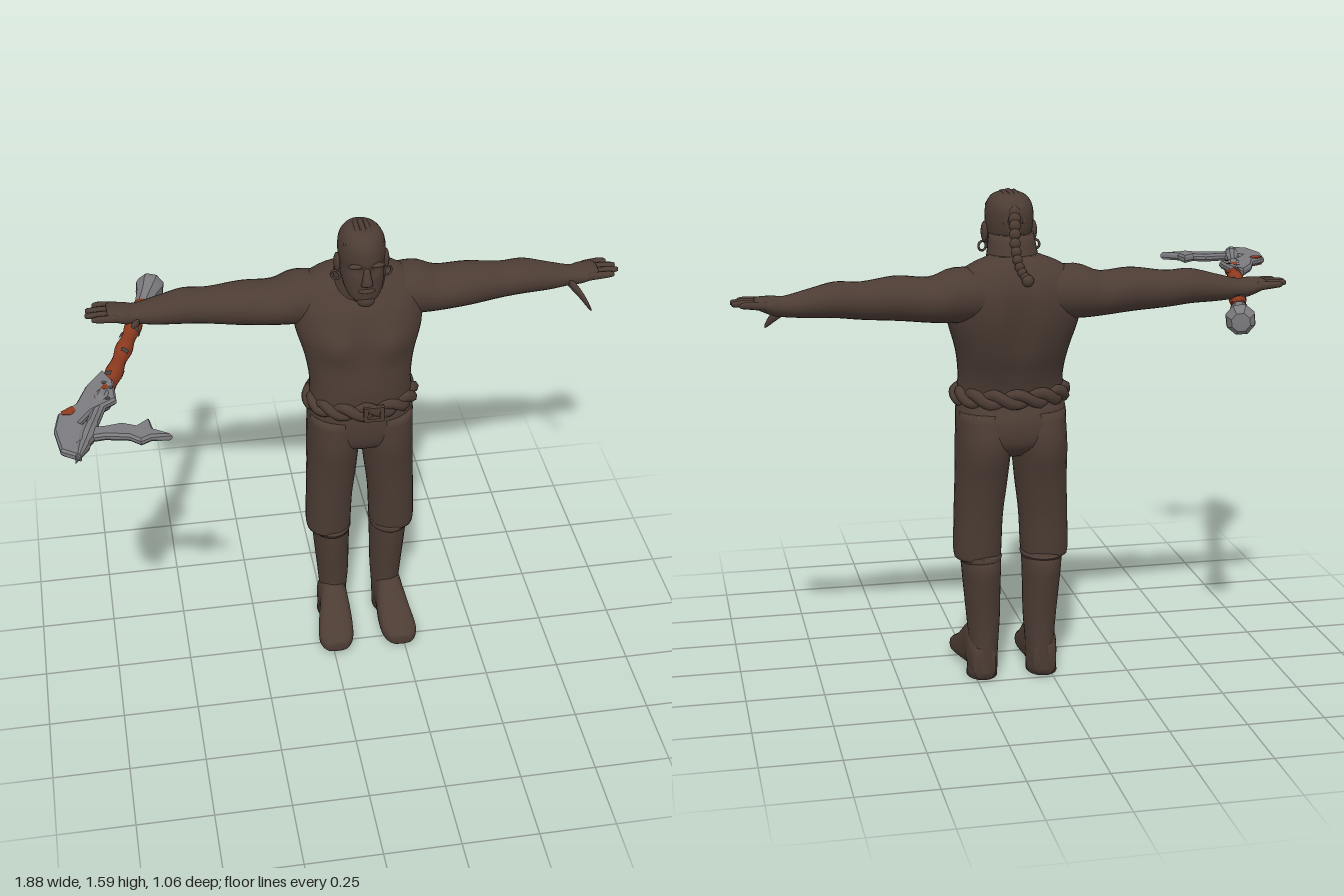
import * as THREE from 'three';
import { toCreasedNormals } from 'three/addons/utils/BufferGeometryUtils.js';

const material = (name, color) => Object.assign(new THREE.MeshStandardMaterial({ color }), { name });
const V = (x, y, z) => new THREE.Vector3(x, y, z);
const gauss = (d, w) => Math.exp(-(d * d) / (w * w));

// Smooth closed skin through elliptical sections [x, y, z, radiusU, radiusV], listed along +axis
function loft(sections, axis = 'y', { segs = 28, steps = 4, round = 1, deform } = {}) {
  const centres = new THREE.CatmullRomCurve3(sections.map(s => V(s[0], s[1], s[2])), false, 'catmullrom');
  const radii = new THREE.CatmullRomCurve3(sections.map(s => V(s[3], s[4], 0)), false, 'catmullrom');
  const rows = (sections.length - 1) * steps;
  const [u, v] = { x: ['z', 'y'], y: ['x', 'z'], z: ['y', 'x'] }[axis];
  const pos = [], index = [];
  const bend = c => Math.sign(c) * Math.pow(Math.abs(c), round);
  for (let i = 0; i <= rows; i++) {
    const c = centres.getPoint(i / rows), r = radii.getPoint(i / rows);
    for (let j = 0; j < segs; j++) {
      const a = (j / segs) * Math.PI * 2, p = c.clone();
      p[u] += r.x * bend(Math.cos(a));
      p[v] += r.y * bend(Math.sin(a));
      if (deform) deform(p, c);
      pos.push(p.x, p.y, p.z);
      const k = i * segs + j, n = i * segs + (j + 1) % segs;
      if (i < rows) index.push(k, k + segs, n, n, k + segs, n + segs);
    }
  }
  const end = (rows + 1) * segs, last = rows * segs;
  for (const t of [0, 1]) pos.push(...centres.getPoint(t).toArray());
  for (let j = 0; j < segs; j++) {
    const n = (j + 1) % segs;
    index.push(end, j, n, end + 1, last + n, last + j);
  }
  const g = new THREE.BufferGeometry();
  g.setAttribute('position', new THREE.Float32BufferAttribute(pos, 3));
  g.setIndex(index);
  g.computeVertexNormals();
  return g;
}

// Mirror across x = 0, keeping faces outward
function mirrored(geometry) {
  const g = geometry.clone().scale(-1, 1, 1), idx = g.index.array;
  for (let i = 0; i < idx.length; i += 3) [idx[i], idx[i + 1]] = [idx[i + 1], idx[i]];
  g.computeVertexNormals();
  return g;
}

export function createModel() {
  const brown = material('dark brown', 0x4c3c34);
  const steel = material('steel', 0x7c7c80);
  const rust = material('rust red wrap', 0x8f3b20);
  const worn = material('worn grey', 0x4b4744);

  const model = new THREE.Group();
  const body = new THREE.Group();
  body.name = 'body';
  body.position.x = 0.125;
  model.add(body);
  const add = (name, geo, mat = brown, parent = body) => {
    const m = new THREE.Mesh(geo, mat);
    m.name = name;
    parent.add(m);
    return m;
  };
  const pair = (name, geo) => {
    add('left' + name, geo);
    add('right' + name, mirrored(geo));
  };
  const blob = (x, y, z, rx, ry, rz) =>
    new THREE.SphereGeometry(1, 14, 10).scale(rx, ry, rz).translate(x, y, z);
  const tube = (points, r, n = 20, closed = false) =>
    new THREE.TubeGeometry(new THREE.CatmullRomCurve3(points, closed), n, r, 7, closed);

  // Torso with chest muscles, breastbone and spine grooves
  add('torso', loft([
    [0, 0.88, -0.16, 0.172, 0.122], [0, 0.95, -0.155, 0.17, 0.112], [0, 1.02, -0.165, 0.168, 0.122],
    [0, 1.1, -0.187, 0.18, 0.135], [0, 1.2, -0.207, 0.208, 0.142], [0, 1.28, -0.222, 0.208, 0.13],
    [0, 1.335, -0.235, 0.19, 0.1], [0, 1.375, -0.24, 0.14, 0.07], [0, 1.4, -0.235, 0.08, 0.045],
  ], 'y', {
    segs: 48, steps: 6, round: 0.88,
    deform: (p, c) => {
      const upper = gauss(p.y - 1.2, 0.14);
      if (p.z > c.z) {
        p.z += 0.018 * gauss(Math.abs(p.x) - 0.09, 0.06) * gauss(p.y - 1.18, 0.055);
        p.z -= 0.012 * gauss(p.x, 0.02) * upper;
      } else p.z += 0.022 * gauss(p.x, 0.03) * upper;
    },
  }));
  add('neck', loft([[0, 1.28, -0.225, 0.12, 0.1], [0, 1.36, -0.205, 0.088, 0.086], [0, 1.46, -0.18, 0.07, 0.075]]));

  // Arms and open hands
  pair('Arm', loft([
    [0.05, 1.28, -0.235, 0.09, 0.08], [0.19, 1.283, -0.248, 0.1, 0.085], [0.27, 1.272, -0.247, 0.092, 0.07],
    [0.37, 1.28, -0.243, 0.082, 0.069], [0.48, 1.278, -0.25, 0.066, 0.058], [0.56, 1.284, -0.25, 0.066, 0.055],
    [0.64, 1.276, -0.25, 0.054, 0.044], [0.715, 1.27, -0.252, 0.04, 0.032], [0.75, 1.274, -0.252, 0.048, 0.03],
    [0.79, 1.282, -0.252, 0.05, 0.02], [0.805, 1.285, -0.252, 0.044, 0.012],
  ], 'x'));
  [[-0.296, 0.85], [-0.266, 0.872], [-0.236, 0.875], [-0.207, 0.855]].forEach(([z, tip], i) =>
    pair('Finger' + (i + 1), loft([
      [0.77, 1.28, z * 0.9 - 0.025, 0.013, 0.014], [0.82, 1.285, z, 0.012, 0.012],
      [tip - 0.006, 1.285, z, 0.009, 0.009], [tip, 1.284, z, 0.004, 0.004],
    ], 'x', { segs: 8, steps: 2 })));
  pair('Thumb', loft([
    [0.705, 1.262, -0.228, 0.02, 0.018], [0.735, 1.235, -0.195, 0.019, 0.018],
    [0.757, 1.207, -0.165, 0.013, 0.013], [0.768, 1.19, -0.152, 0.005, 0.005],
  ], 'x', { segs: 10 }));

  // Head and face
  add('head', loft([
    [0, 1.345, -0.09, 0.025, 0.035], [0, 1.375, -0.103, 0.054, 0.06], [0, 1.42, -0.128, 0.068, 0.086],
    [0, 1.46, -0.142, 0.071, 0.1], [0, 1.5, -0.146, 0.075, 0.105], [0, 1.54, -0.147, 0.072, 0.1],
    [0, 1.57, -0.145, 0.056, 0.076], [0, 1.584, -0.143, 0.028, 0.038],
  ], 'y', {
    deform: (p, c) => { // eye sockets
      if (p.z > c.z) p.z -= 0.014 * gauss(Math.abs(p.x) - 0.032, 0.02) * gauss(p.y - 1.472, 0.014);
    },
  }));
  add('nose', loft([[0, 1.425, -0.044, 0.02, 0.014], [0, 1.437, -0.038, 0.017, 0.017], [0, 1.485, -0.046, 0.008, 0.01]]));
  add('mouth', blob(0, 1.403, -0.047, 0.028, 0.009, 0.01));
  add('beard', blob(0, 1.362, -0.062, 0.03, 0.024, 0.022));
  pair('Brow', blob(0.032, 1.49, -0.053, 0.026, 0.008, 0.012));
  pair('Ear', blob(0.078, 1.46, -0.145, 0.011, 0.033, 0.021));
  pair('Earring', new THREE.TorusGeometry(0.015, 0.004, 6, 14).rotateY(0.5).translate(0.084, 1.415, -0.14));

  // Braided rows over the scalp
  for (let i = -3; i <= 3; i++) {
    const x = i * 0.019, s = Math.sqrt(1 - (x / 0.079) ** 2), pts = [];
    for (let k = 0; k <= 8; k++) {
      const a = THREE.MathUtils.degToRad(48 + k * 16);
      pts.push(V(x * (1 - k * 0.04), 1.49 + 0.093 * s * Math.sin(a), -0.146 + 0.104 * s * Math.cos(a)));
    }
    add('hairRow', tube(pts, 0.01));
  }
  // Long braid hanging behind
  const braid = new THREE.CatmullRomCurve3([
    V(0, 1.545, -0.225), V(0.005, 1.5, -0.262), V(0.01, 1.43, -0.295), V(0.0, 1.37, -0.318), V(-0.02, 1.335, -0.335),
  ]);
  for (let i = 0; i < 12; i++) {
    const p = braid.getPoint(i / 11), r = i === 11 ? 0.019 : 0.021 - i * 0.0007;
    add('braidKnot', blob(p.x, p.y, p.z, r, r, r * 0.8));
  }

  // Trousers
  add('hips', loft([
    [0, 0.755, -0.172, 0.1, 0.07], [0, 0.8, -0.172, 0.168, 0.125], [0, 0.87, -0.168, 0.178, 0.134],
    [0, 0.93, -0.158, 0.172, 0.118], [0, 0.95, -0.158, 0.165, 0.11],
  ], 'y', { round: 0.9 }));
  pair('TrouserLeg', loft([
    [0.11, 0.41, -0.165, 0.074, 0.083], [0.11, 0.44, -0.165, 0.077, 0.086], [0.106, 0.55, -0.164, 0.078, 0.096],
    [0.097, 0.67, -0.167, 0.083, 0.113], [0.091, 0.79, -0.172, 0.087, 0.136], [0.088, 0.9, -0.163, 0.086, 0.122],
  ], 'y', { round: 0.9 }));

  // Twisted sash belt and buckle
  for (const phase of [0, Math.PI]) {
    const pts = [];
    for (let i = 0; i < 72; i++) {
      const a = (i / 72) * Math.PI * 2, w = a * 7 + phase, r = 0.008 * Math.cos(w);
      pts.push(V((0.17 + r) * Math.cos(a), 0.948 + 0.015 * Math.sin(w), -0.158 + (0.117 + r) * Math.sin(a)));
    }
    add('sash', tube(pts, 0.019, 144, true));
  }
  const buckle = new THREE.Shape([[-0.034, -0.027], [0.034, -0.027], [0.034, 0.027], [-0.034, 0.027]].map(p => new THREE.Vector2(...p)));
  buckle.holes.push(new THREE.Path([[-0.02, -0.015], [-0.02, 0.015], [0.02, 0.015], [0.02, -0.015]].map(p => new THREE.Vector2(...p))));
  add('buckle', new THREE.ExtrudeGeometry(buckle, { depth: 0.016, bevelEnabled: false }).translate(0.022, 0.948, -0.032));

  // Boots
  pair('BootShaft', loft([
    [0.1, 0.004, -0.178, 0.05, 0.066], [0.094, 0.1, -0.178, 0.047, 0.066], [0.094, 0.2, -0.175, 0.054, 0.07],
    [0.098, 0.31, -0.175, 0.06, 0.084], [0.1, 0.38, -0.175, 0.064, 0.091], [0.102, 0.425, -0.166, 0.066, 0.084],
  ]));
  pair('BootFoot', loft([
    [0.1, 0.055, -0.24, 0.052, 0.036], [0.1, 0.08, -0.18, 0.078, 0.05], [0.1, 0.085, -0.11, 0.083, 0.05],
    [0.106, 0.055, -0.04, 0.053, 0.059], [0.112, 0.037, 0.02, 0.036, 0.06], [0.114, 0.032, 0.056, 0.026, 0.045],
    [0.114, 0.032, 0.068, 0.016, 0.028],
  ], 'z', { round: 0.75 }));
  pair('BootCuff', new THREE.TorusGeometry(1, 0.1, 6, 28).rotateX(Math.PI / 2)
    .scale(0.064, 0.12, 0.084).translate(0.102, 0.41, -0.168));

  // Axe handle, built along y and then laid into place
  const axe = new THREE.Group();
  axe.name = 'axe';
  const butt = V(-0.515, 1.217, -0.525), tip = V(-0.82, 1.265, 0.52);
  axe.position.copy(butt);
  axe.quaternion.setFromUnitVectors(V(0, 1, 0), tip.clone().sub(butt).normalize());
  model.add(axe);
  const lathe = (pts, n = 14) => toCreasedNormals(
    new THREE.LatheGeometry(pts.map(([r, y]) => new THREE.Vector2(r, y)), n), 0.6);
  add('pommel', lathe([[0, 0], [0.03, 0.002], [0.046, 0.025], [0.048, 0.05], [0.036, 0.09], [0.028, 0.15], [0.028, 0.17], [0, 0.17]], 8), steel, axe);
  const grip = [[0, 0.165]];
  for (let i = 0; i <= 28; i++) grip.push([0.025 + 0.003 * Math.cos(i * 0.9), 0.165 + i * 0.02]);
  grip.push([0, 0.725]);
  add('grip', lathe(grip), rust, axe);
  for (let i = 0; i < 11; i++)
    add('wornPatch', new THREE.CylinderGeometry(0.0285, 0.0285, 0.022 + (i % 3) * 0.008, 6, 1, true, i * 2.4, 0.9 + (i % 2) * 0.5)
      .translate(0, 0.2 + i * 0.048, 0), worn, axe);
  add('shaft', lathe([[0, 0.715], [0.026, 0.715], [0.032, 0.74], [0.031, 0.765], [0.02, 0.785], [0.02, 0.88],
    [0.025, 0.9], [0.025, 0.96], [0.018, 0.985], [0.022, 1.0], [0, 1.094]], 10), steel, axe);

  // Axe head: crescent blade, bridge and rear spikes lying flat, outline in x and z
  const flat = pts => new THREE.Shape(pts.map(([x, z]) => new THREE.Vector2(x, -z)));
  const slab = (pts, depth, bevel, y) => new THREE.ExtrudeGeometry(flat(pts), {
    depth, bevelEnabled: bevel > 0, bevelThickness: bevel, bevelSize: 0.006, bevelOffset: -0.006, bevelSegments: 1,
  }).rotateX(-Math.PI / 2).translate(0, y - depth / 2, 0);
  add('axeHead', slab([
    [-0.84, 0.055], [-0.81, 0.12], [-0.808, 0.22], [-0.885, 0.27], [-0.922, 0.325], [-0.9, 0.35], [-0.853, 0.353],
    [-0.8, 0.345], [-0.76, 0.365], [-0.72, 0.335], [-0.712, 0.39], [-0.66, 0.43], [-0.72, 0.428], [-0.752, 0.445],
    [-0.785, 0.415], [-0.853, 0.4], [-0.912, 0.405], [-0.922, 0.44], [-0.927, 0.495], [-0.985, 0.455],
    [-1, 0.35], [-0.985, 0.27], [-0.93, 0.225], [-0.895, 0.135],
  ], 0.01, 0.008, 1.26), steel);
  add('bladeStain', slab([[-0.975, 0.265], [-0.94, 0.24], [-0.93, 0.265], [-0.945, 0.285], [-0.972, 0.282]], 0.028, 0, 1.26), rust);
  for (const [x, z] of [[-0.835, 0.215], [-0.822, 0.16], [-0.84, 0.13]])
    add('bladePit', new THREE.CylinderGeometry(0.009, 0.009, 0.028, 7).translate(x, 1.26, z), worn);

  return model;
}
